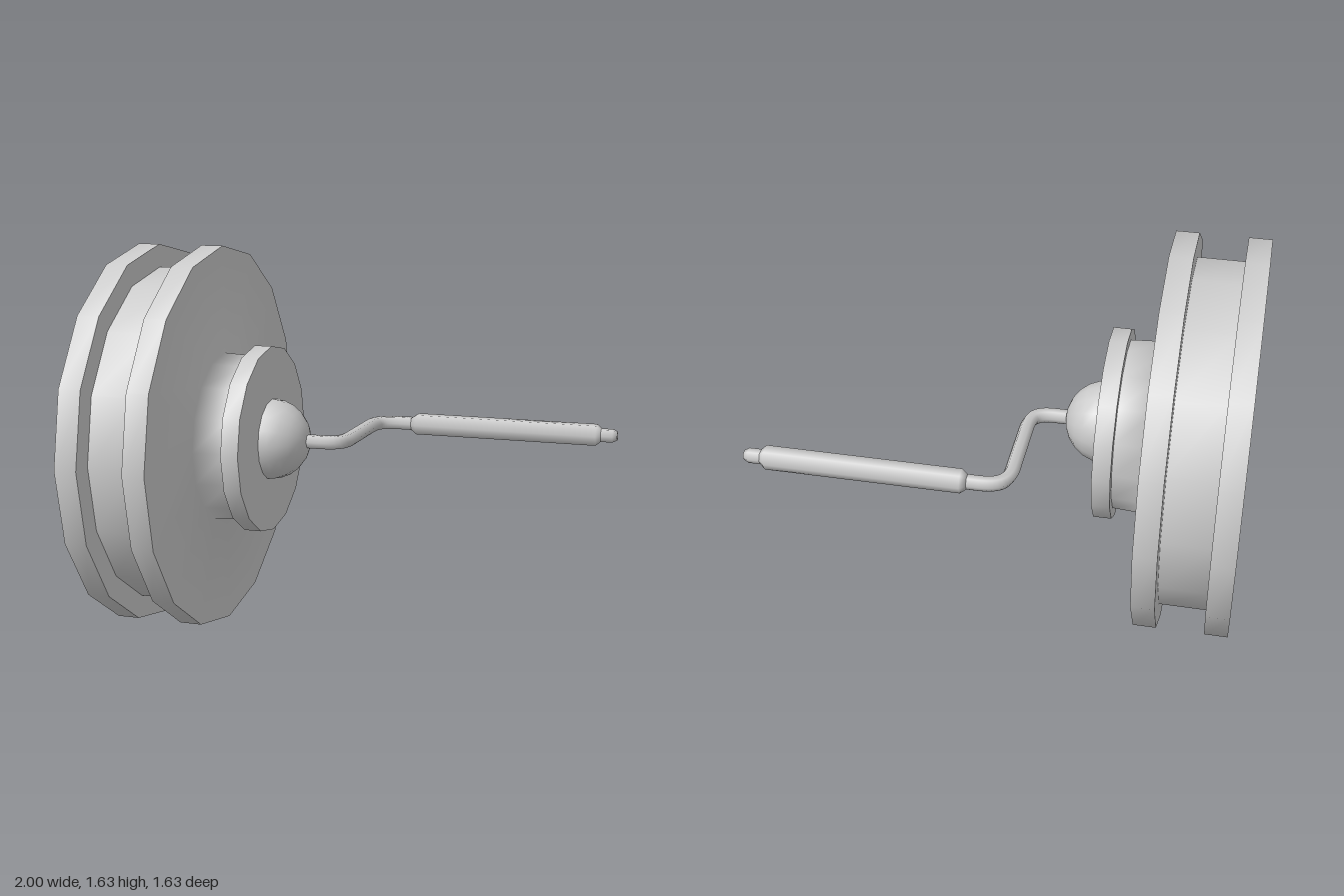
import * as THREE from 'three';
import { toCreasedNormals } from 'three/addons/utils/BufferGeometryUtils.js';

const AXLE = 0.817; // height of the spool axis

export function createModel() {
  const group = new THREE.Group();
  const mat = new THREE.MeshStandardMaterial({ color: 0xcccccc, side: THREE.DoubleSide });

  function add(name, geo, x = 0, z = 0) {
    const mesh = new THREE.Mesh(geo, mat);
    mesh.name = name;
    mesh.position.set(x, AXLE, z);
    group.add(mesh);
    return mesh;
  }

  // Revolve a profile of [radius, x] pairs about the x axis
  function turned(profile, sides, crease) {
    const points = profile.map(([r, x]) => new THREE.Vector2(r, x));
    const geo = new THREE.LatheGeometry(points, sides);
    geo.rotateZ(-Math.PI / 2);
    return crease ? toCreasedNormals(geo, 0.6) : geo;
  }

  // Hollow rim with two flanges and a groove between them
  add('rim', turned([
    [0.71, -1], [0.817, -1], [0.817, -0.905], [0.72, -0.905],
    [0.72, -0.71], [0.817, -0.71], [0.817, -0.615],
  ], 16, true));
  add('rimInside', turned([
    [0.67, -0.615], [0.67, -0.905], [0.71, -0.905], [0.71, -1],
  ], 16, true));

  // Face plate flowing into the neck, softly shaded
  add('facePlate', turned([[0.817, -0.615], [0.363, -0.615], [0.355, -0.475]], 16, false));

  // Hub cap
  add('hub', turned([[0.355, -0.475], [0.4, -0.475], [0.4, -0.4], [0, -0.4]], 16, true));

  // Rounded boss in the middle of the hub
  const boss = new THREE.SphereGeometry(0.175, 16, 12);
  boss.rotateZ(-Math.PI / 2);
  add('boss', boss, -0.41);

  // Bent crank arm: straight runs joined by rounded corners
  const v = (x, z) => new THREE.Vector3(x, 0, z);
  const path = new THREE.CurvePath();
  path.add(new THREE.LineCurve3(v(-0.3, 0), v(-0.19, 0)));
  path.add(new THREE.CubicBezierCurve3(v(-0.19, 0), v(-0.11, 0), v(-0.088, -0.03), v(-0.086, -0.11)));
  path.add(new THREE.LineCurve3(v(-0.086, -0.11), v(-0.082, -0.39)));
  path.add(new THREE.CubicBezierCurve3(v(-0.082, -0.39), v(-0.08, -0.47), v(-0.05, -0.498), v(0.03, -0.5)));
  path.add(new THREE.LineCurve3(v(0.03, -0.5), v(0.1, -0.5)));
  add('crankArm', new THREE.TubeGeometry(path, 48, 0.031, 6, false));

  // Six-sided grip with a narrow end pin
  add('grip', turned([
    [0, 0.08], [0.031, 0.08], [0.05, 0.105], [0.05, 0.91], [0.031, 0.93],
  ], 6, false), 0, -0.5);
  add('gripPin', turned([[0.031, 0.925], [0.031, 0.98], [0.02, 1], [0, 1]], 6, false), 0, -0.5);

  return group;
}
